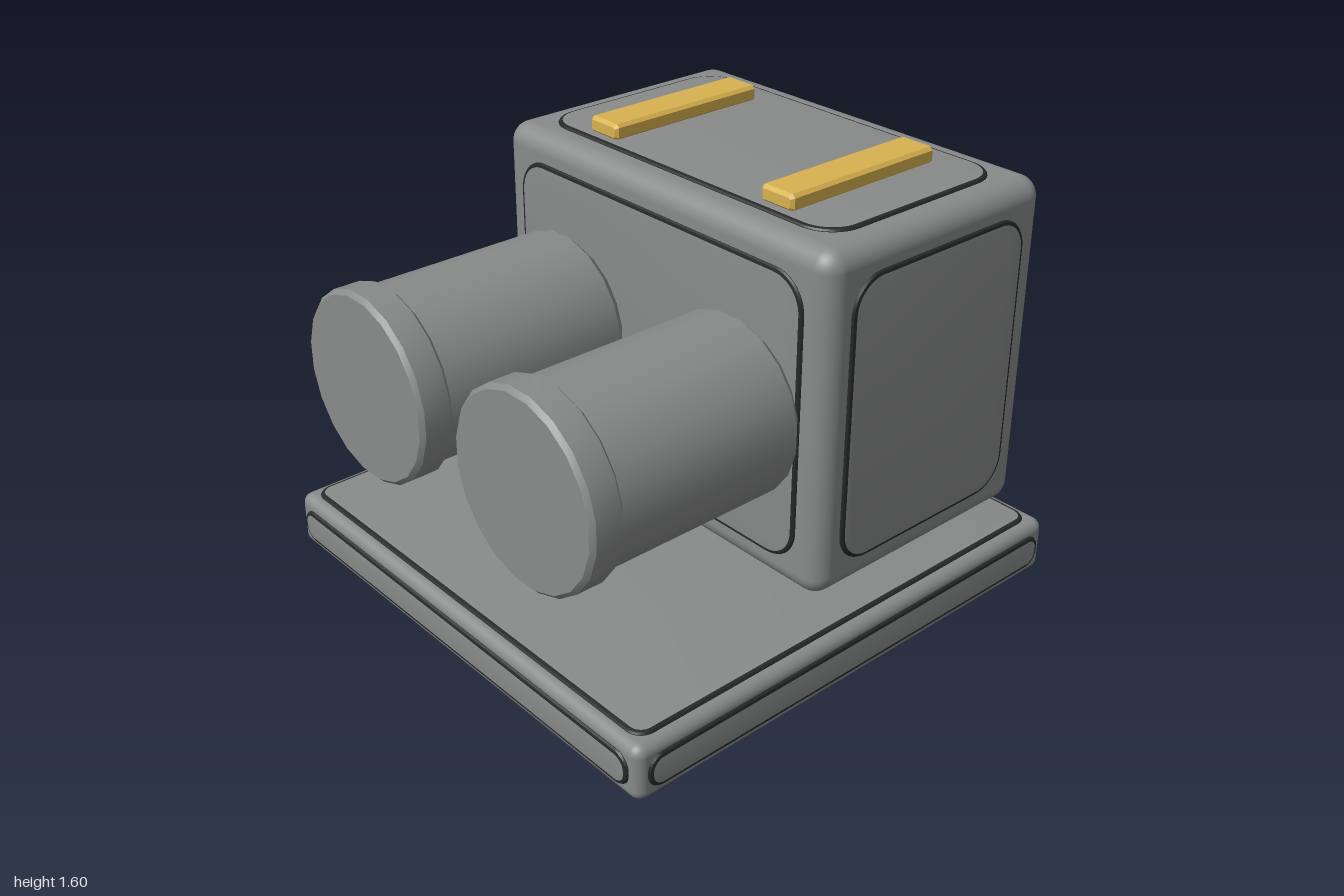
import * as THREE from 'three';
import { toCreasedNormals } from 'three/addons/utils/BufferGeometryUtils.js';
import { RoundedBoxGeometry } from 'three/addons/geometries/RoundedBoxGeometry.js';

function flat(name, color) {
  const material = new THREE.MeshStandardMaterial({ color });
  material.name = name;
  return material;
}
const grey = flat('grey metal', 0x888b89);
const dark = flat('dark rim', 0x262928);
const gold = flat('gold', 0xd8b150);

const RAISE = 0.011; // how far a panel stands proud of its block

function addMesh(parent, name, geometry, material, x = 0, y = 0, z = 0) {
  const mesh = new THREE.Mesh(geometry, material);
  mesh.name = name;
  mesh.position.set(x, y, z);
  parent.add(mesh);
  return mesh;
}

// Rounded-corner plate with a bevelled rim; its outer face lies on z = 0.
// Material group 0 is the flat face, group 1 the rim.
function panelGeometry(w, h, r) {
  const x = w / 2, y = h / 2;
  const s = new THREE.Shape();
  s.moveTo(-x + r, -y);
  s.lineTo(x - r, -y);
  s.absarc(x - r, -y + r, r, -Math.PI / 2, 0);
  s.lineTo(x, y - r);
  s.absarc(x - r, y - r, r, 0, Math.PI / 2);
  s.lineTo(-x + r, y);
  s.absarc(-x + r, y - r, r, Math.PI / 2, Math.PI);
  s.lineTo(-x, -y + r);
  s.absarc(-x + r, -y + r, r, Math.PI, Math.PI * 1.5);
  const geo = new THREE.ExtrudeGeometry(s, {
    depth: 0.01, bevelEnabled: true, bevelThickness: 0.009, bevelSize: 0.015,
    bevelOffset: -0.015, bevelSegments: 2, curveSegments: 6,
  });
  geo.translate(0, 0, -0.019);
  return toCreasedNormals(geo, 0.35);
}

// Rounded block with a raised, dark-rimmed panel on each of its six faces
function panelledBlock(name, w, h, d, edge, inset, corner) {
  const group = new THREE.Group();
  group.name = name;
  addMesh(group, name + 'Core', new RoundedBoxGeometry(w, h, d, 4, edge), grey);
  const q = Math.PI / 2;
  const faces = [
    ['Front', w, h, d, 0, 0], ['Back', w, h, d, 0, 2 * q],
    ['Left', d, h, w, 0, q], ['Right', d, h, w, 0, -q],
    ['Top', w, d, h, -q, 0], ['Bottom', w, d, h, q, 0],
  ];
  for (const [side, pw, ph, depth, rx, ry] of faces) {
    const a = pw - 2 * inset, b = ph - 2 * inset;
    const geo = panelGeometry(a, b, Math.min(corner, b * 0.45));
    geo.translate(0, 0, depth / 2 + RAISE);
    const panel = addMesh(group, name + side + 'Panel', geo, [grey, dark]);
    panel.rotation.set(rx, ry, 0);
  }
  return group;
}

// Twenty-sided barrel along z with a tapered root and a chamfered lip
function barrelGeometry() {
  const profile = [
    [0, 0.04], [0.285, 0.04], [0.285, 0.075], [0.329, 0.12], [0.329, 0.85],
    [0.353, 0.87], [0.353, 0.97], [0.337, 0.986], [0, 0.986],
  ].map(([r, z]) => new THREE.Vector2(r, z));
  const geo = new THREE.LatheGeometry(profile, 20, Math.PI / 20);
  geo.rotateX(Math.PI / 2);
  return toCreasedNormals(geo, 0.5);
}

// Bar along z with chamfered edges all round
function stripGeometry(w, h, d) {
  const c = 0.012, x = w / 2 - c, y = h / 2 - c;
  const s = new THREE.Shape();
  s.moveTo(-x, -y - c).lineTo(x, -y - c).lineTo(x + c, -y).lineTo(x + c, y);
  s.lineTo(x, y + c).lineTo(-x, y + c).lineTo(-x - c, y).lineTo(-x - c, -y);
  const geo = new THREE.ExtrudeGeometry(s, {
    depth: d - 2 * c, bevelEnabled: true, bevelThickness: c, bevelSize: c,
    bevelOffset: -c, bevelSegments: 1,
  });
  geo.translate(0, 0, c - d / 2);
  return geo;
}

export function createModel() {
  const model = new THREE.Group();
  model.name = 'twinBarrelTurret';

  // Flat base slab
  const base = panelledBlock('base', 1.978, 0.212, 1.978, 0.04, 0.042, 0.06);
  base.position.y = 0.117;
  model.add(base);

  // Main housing at the rear
  const housing = panelledBlock('housing', 1.668, 1.283, 1.053, 0.075, 0.105, 0.13);
  housing.position.set(0, 0.8915, -0.4575);
  model.add(housing);

  // Mirrored barrels and top strips
  const barrel = barrelGeometry();
  const strip = stripGeometry(0.15, 0.062, 0.69);
  for (const [side, sx] of [['left', 1], ['right', -1]]) {
    addMesh(model, side + 'Barrel', barrel, grey, sx * 0.442, 0.89, 0);
    addMesh(model, side + 'TopStrip', strip, gold, sx * 0.44, 1.569, -0.425);
  }
  return model;
}
